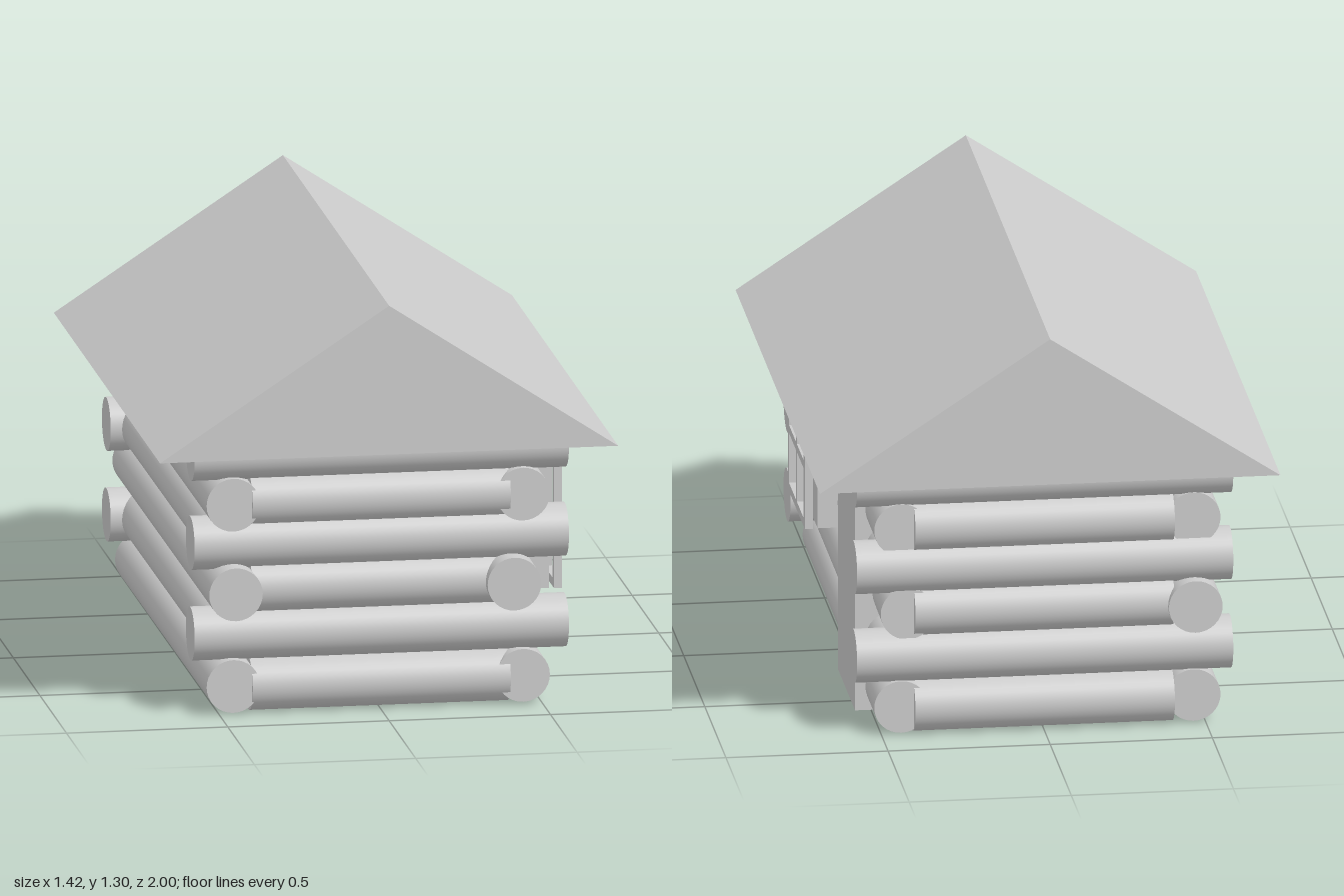
import * as THREE from 'three';

const R = 0.083; // log radius

export function createModel() {
  const group = new THREE.Group();
  const mat = new THREE.MeshStandardMaterial({ color: 0xcccccc });

  const add = (geo, name, x = 0, y = 0, z = 0) => {
    const mesh = new THREE.Mesh(geo, mat);
    mesh.name = name;
    mesh.position.set(x, y, z);
    group.add(mesh);
    return mesh;
  };

  // A log running between two end points
  const log = (name, from, to) => {
    const a = new THREE.Vector3(...from), b = new THREE.Vector3(...to);
    const mesh = add(new THREE.CylinderGeometry(R, R, a.distanceTo(b), 32), name);
    mesh.position.copy(a).add(b).multiplyScalar(0.5);
    mesh.quaternion.setFromUnitVectors(new THREE.Vector3(0, 1, 0), b.sub(a).normalize());
  };

  // Six courses of logs; long ends alternate between side and end walls
  const courses = [0.09, 0.245, 0.39, 0.53, 0.66, 0.81];
  courses.forEach((y, i) => {
    const sideLong = i % 2 === 0;
    const endY = i === 0 ? R : y;
    const halfX = sideLong ? 0.4 : 0.58;
    log('frontLog', [-halfX, endY, 0.78], [halfX, endY, 0.78]);
    log('backLog', [-halfX, endY, -0.8], [halfX, endY, -0.8]);

    const middle = i === 2;
    const halfZ = sideLong ? 0.85 : 0.76;
    const leftZ = middle ? 0.9 : halfZ;
    log('leftLog', [middle ? 0.405 : 0.44, y, leftZ], [middle ? 0.42 : 0.44, y, -halfZ]);
    log('rightLog', [-0.458, y, leftZ], [-0.462, y, -leftZ]);
  });

  // Solid gable roof
  const gable = new THREE.Shape([
    new THREE.Vector2(-0.71, 0.837),
    new THREE.Vector2(0.71, 0.837),
    new THREE.Vector2(0, 1.305),
  ]);
  add(new THREE.ExtrudeGeometry(gable, { depth: 2, bevelEnabled: false }), 'roof', 0, 0, -1);

  // Door slab
  add(new THREE.BoxGeometry(0.105, 0.695, 0.4), 'door', 0.5025, 0.3625, -0.44);

  // Window: backing panel and a frame with four openings
  add(new THREE.BoxGeometry(0.105, 0.4, 0.39), 'windowPanel', 0.5025, 0.51, 0.442);
  const frame = new THREE.Shape([
    new THREE.Vector2(-0.2, -0.2), new THREE.Vector2(0.2, -0.2),
    new THREE.Vector2(0.2, 0.2), new THREE.Vector2(-0.2, 0.2),
  ]);
  for (const sx of [-1, 1]) {
    for (const sy of [-1, 1]) {
      const hole = [[0.013, 0.013], [0.013, 0.173], [0.173, 0.173], [0.173, 0.013]]
        .map(([u, v]) => new THREE.Vector2(u * sx, v * sy));
      frame.holes.push(new THREE.Path(hole));
    }
  }
  const frameMesh = add(
    new THREE.ExtrudeGeometry(frame, { depth: 0.025, bevelEnabled: false }),
    'windowFrame', 0.57, 0.51, 0.443);
  frameMesh.rotation.y = Math.PI / 2;

  return group;
}
